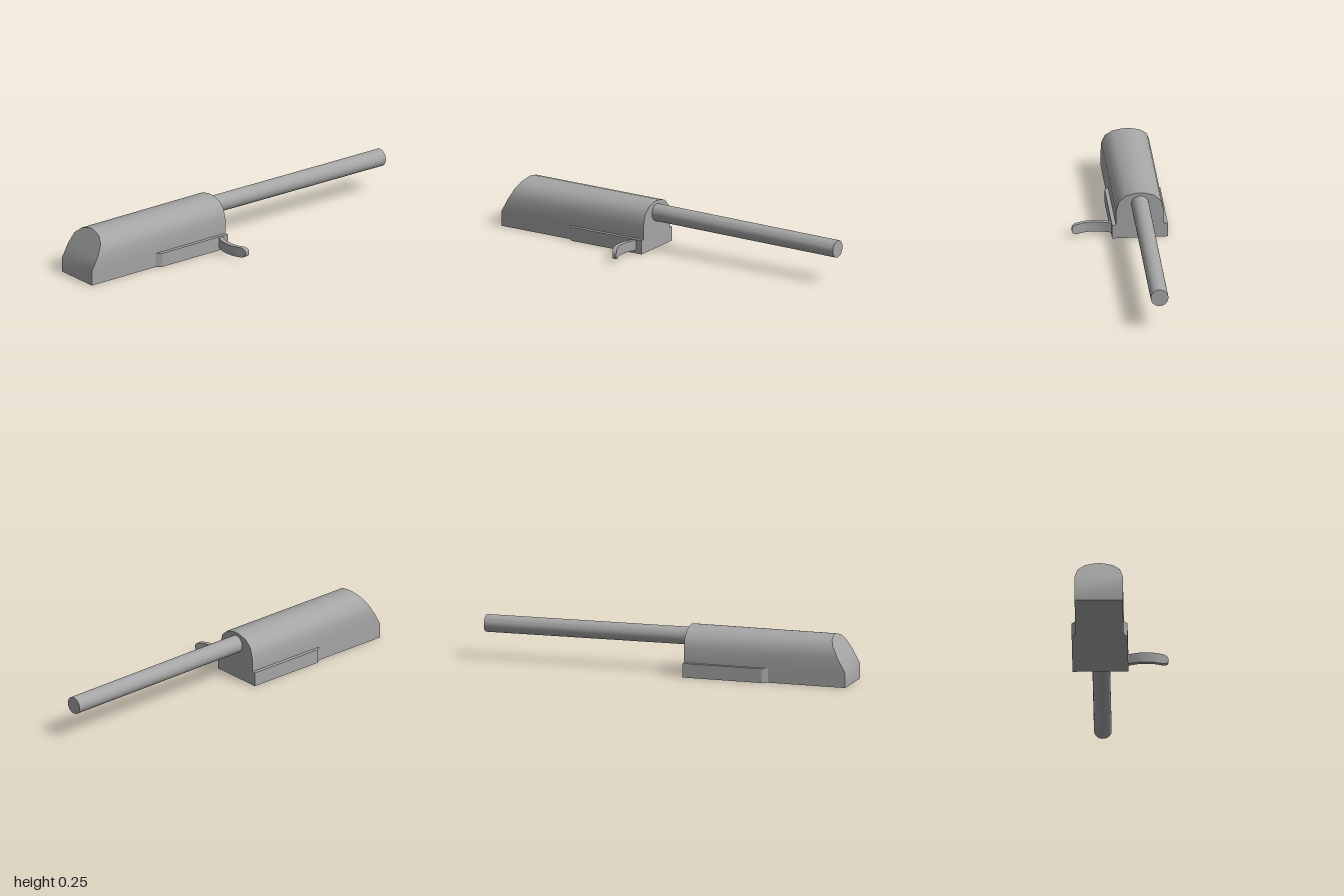
import * as THREE from 'three';
import { toCreasedNormals } from 'three/addons/utils/BufferGeometryUtils.js';

const CX = -0.105; // centre line of body and barrel

// Skin a stack of equal rings (counter-clockwise seen from the last ring's side) and cap both ends
function loft(rings, crease) {
  const n = rings[0].length, pos = [];
  const tri = (a, b, c) => pos.push(...a, ...b, ...c);
  for (let k = 0; k < rings.length - 1; k++) {
    for (let i = 0; i < n; i++) {
      const j = (i + 1) % n, p = rings[k], q = rings[k + 1];
      tri(p[i], p[j], q[j]);
      tri(p[i], q[j], q[i]);
    }
  }
  const first = rings[0], last = rings[rings.length - 1];
  for (let i = 1; i < n - 1; i++) {
    tri(first[0], first[i + 1], first[i]);
    tri(last[0], last[i], last[i + 1]);
  }
  const g = new THREE.BufferGeometry();
  g.setAttribute('position', new THREE.Float32BufferAttribute(pos, 3));
  return toCreasedNormals(g, crease);
}

export function createModel() {
  const group = new THREE.Group();
  const grey = new THREE.MeshStandardMaterial({ color: 0xa6a6a6 });
  grey.name = 'grey';
  const add = (name, geometry) => {
    const mesh = new THREE.Mesh(geometry, grey);
    mesh.name = name;
    group.add(mesh);
    return mesh;
  };

  // Arched body with a sloping nose: rows of [half width, height]
  const rows = [[0.125, 0], [0.125, 0.08], [0.125, 0.153], [0.11, 0.207],
    [0.073, 0.24], [0.025, 0.253], [0.006, 0.255]];
  add('body', loft(rows.map(([w, y]) => {
    const front = 1 - Math.max(0, y - 0.08) * 0.55;
    return [[CX - w, y, front], [CX + w, y, front], [CX + w, y, 0.12], [CX - w, y, 0.12]];
  }), 0.7));

  // Low side rails with chamfered front ends
  for (const side of [1, -1]) {
    const outline = [[0.125, 0.58], [0.145, 0.55], [0.145, 0.12], [0.125, 0.12]];
    if (side < 0) outline.reverse();
    const rings = [0, 0.075].map(y => outline.map(([x, z]) => [CX + side * x, y, z]));
    add(side > 0 ? 'leftRail' : 'rightRail', loft(rings, 0.4));
  }

  // Long rod, dropping slightly towards its free end
  const rod = new THREE.CylinderGeometry(0.046, 0.046, 1.14, 32);
  rod.rotateX(Math.PI / 2);
  rod.translate(CX, 0, -0.43);
  const p = rod.attributes.position;
  for (let i = 0; i < p.count; i++) p.setY(i, p.getY(i) + 0.191 + 0.007 * p.getZ(i));
  rod.computeVertexNormals();
  add('rod', toCreasedNormals(rod, 0.7));

  // Curved lever with a rounded tip: stations of [x, z, half height]
  const stations = [[0.03, 0.163, 0.027], [0.06, 0.175, 0.027], [0.09, 0.185, 0.027],
    [0.12, 0.188, 0.027], [0.155, 0.188, 0.027], [0.185, 0.182, 0.027], [0.222, 0.165, 0.027],
    [0.233, 0.16, 0.0245], [0.242, 0.156, 0.018], [0.247, 0.154, 0.009]];
  add('lever', loft(stations.map(([x, z, h]) => {
    const t = 0.012, y = 0.044;
    return [[x, y - h, z + t], [x, y - h, z - t], [x, y + h, z - t], [x, y + h, z + t]];
  }), 0.7));

  return group;
}
